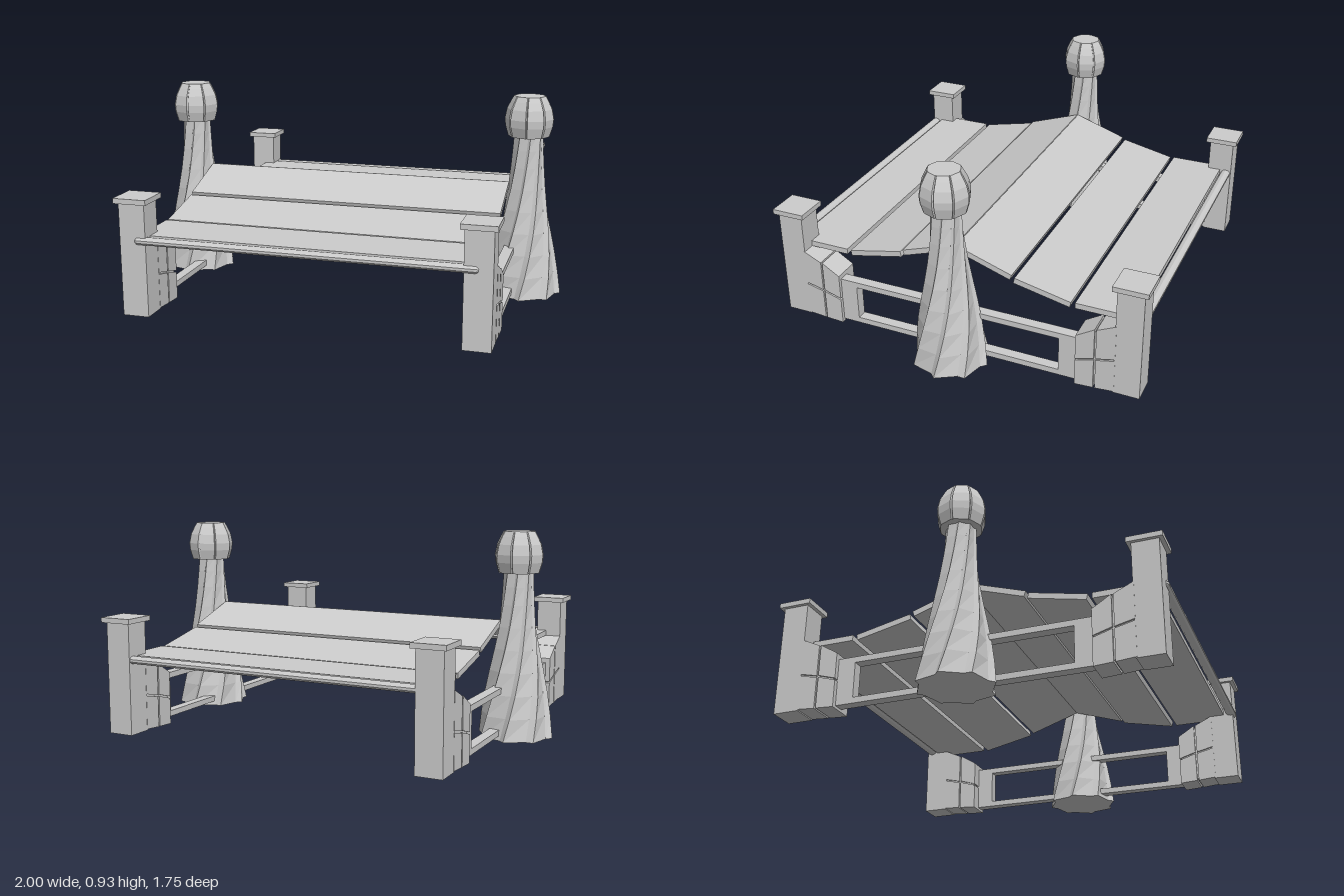
import * as THREE from 'three';

const material = new THREE.MeshStandardMaterial({ color: 0xcccccc, flatShading: true, side: THREE.DoubleSide });

function add(parent, name, geometry, x = 0, y = 0, z = 0) {
  const mesh = new THREE.Mesh(geometry, material);
  mesh.name = name;
  mesh.position.set(x, y, z);
  parent.add(mesh);
  return mesh;
}

// Closed solid from stacked rings; section = [angle, radius factor], levels = [y, radius, twist]
function loft(section, levels) {
  const pos = [], idx = [], n = section.length;
  for (const [y, r, twist] of levels) {
    for (const [a, f] of section) pos.push(Math.cos(a - twist) * r * f, y, Math.sin(a - twist) * r * f);
  }
  for (let j = 0; j < levels.length - 1; j++) {
    for (let i = 0; i < n; i++) {
      const a = j * n + i, b = j * n + (i + 1) % n;
      idx.push(a, a + n, b, b, a + n, b + n);
    }
  }
  const last = levels.length - 1;
  const bottom = pos.length / 3, top = bottom + 1;
  pos.push(0, levels[0][0], 0, 0, levels[last][0], 0);
  for (let i = 0; i < n; i++) {
    const k = (i + 1) % n;
    idx.push(bottom, i, k, top, last * n + k, last * n + i);
  }
  const g = new THREE.BufferGeometry();
  g.setAttribute('position', new THREE.Float32BufferAttribute(pos, 3));
  g.setIndex(idx);
  const flat = g.toNonIndexed();
  flat.computeVertexNormals();
  return flat;
}

// Side-on outline in (z, y), given thickness along x and centred there
function sidePanel(points, width, hole) {
  const shape = new THREE.Shape(points.map(p => new THREE.Vector2(...p)));
  if (hole) shape.holes.push(new THREE.Path(hole.map(p => new THREE.Vector2(...p))));
  const g = new THREE.ExtrudeGeometry(shape, { depth: width, bevelEnabled: false });
  return g.translate(0, 0, -width / 2).rotateY(-Math.PI / 2);
}

const rect = (z, y0, y1) => [[-z, y0], [z, y0], [z, y1], [-z, y1]];

function addTower(parent, x) {
  const tower = new THREE.Group();
  tower.name = 'twistedTower';
  tower.position.x = x;
  parent.add(tower);

  // Twisted shaft with eight stepped ridges
  const step = Math.PI / 4, ridges = [], panels = [];
  for (let i = 0; i < 8; i++) {
    ridges.push([i * step, 1], [(i + 0.2) * step, 0.87]);
    // Knob panels separated by narrow grooves
    panels.push([i * step - 0.04, 1], [i * step, 0.93], [i * step + 0.04, 1]);
  }
  const profile = [[0, 0.174], [0.1, 0.158], [0.2, 0.141], [0.3, 0.122], [0.4, 0.103],
    [0.5, 0.087], [0.6, 0.076], [0.68, 0.07], [0.75, 0.066]];
  add(tower, 'shaft', loft(ridges, profile.map(([y, r]) => [y, r, y * 1.4])));
  add(tower, 'knob', loft(panels, [[0.743, 0.094, 0], [0.79, 0.108, 0], [0.825, 0.111, 0],
    [0.87, 0.102, 0], [0.905, 0.085, 0], [0.928, 0.072, 0]]));
}

function addCorner(parent, sx, sz) {
  const corner = new THREE.Group();
  corner.name = 'corner';
  corner.position.x = sx * 0.75 - 0.008;
  parent.add(corner);

  // Post and cap
  const z = sz * 0.8;
  add(corner, 'post', new THREE.BoxGeometry(0.12, 0.51, 0.117), 0, 0.27, z);
  add(corner, 'postCap', new THREE.BoxGeometry(0.152, 0.023, 0.153), 0, 0.534, z);

  // Sloping buttress: two columns of two stones over a recessed core
  const columns = [[0.75, 0.02, 0.18, 0.348], [0.657, 0.013, 0.16, 0.308], [0.57, 0.008, 0.135, 0.257]];
  const gap = 0.004;
  for (let c = 0; c < 2; c++) {
    for (let r = 1; r < 3; r++) {
      const a = columns[c], b = columns[c + 1];
      const za = sz * (a[0] - gap), zb = sz * (b[0] + (c ? 0 : gap));
      const low = r === 2 ? gap : 0, high = r === 1 ? gap : 0;
      add(corner, 'buttressStone', sidePanel([[za, a[r] + low], [zb, b[r] + low],
        [zb, b[r + 1] - high], [za, a[r + 1] - high]], 0.122));
    }
  }
  add(corner, 'buttressCore', sidePanel([[sz * 0.75, 0.03], [sz * 0.58, 0.02], [sz * 0.58, 0.245],
    [sz * 0.657, 0.295], [sz * 0.75, 0.335]], 0.105));
}

export function createModel() {
  const model = new THREE.Group();
  model.name = 'footbridge';

  for (const s of [-1, 1]) {
    addTower(model, s * 0.8255 - 0.002);
    for (const sz of [-1, 1]) addCorner(model, s, sz);
    // Open rail frame along each side
    add(model, 'sideFrame', sidePanel(rect(0.6, 0.02, 0.235), 0.048, rect(0.49, 0.047, 0.208)), s * 0.768 - 0.005);
  }

  // Deck planks: [z inner, top y inner, z outer, top y outer]
  const planks = [[0.003, 0.523, 0.262, 0.436], [0.276, 0.425, 0.532, 0.37], [0.553, 0.372, 0.812, 0.372]];
  const thick = 0.026;
  for (const s of [-1, 1]) {
    for (const [z0, y0, z1, y1] of planks) {
      const length = Math.hypot(z1 - z0, y1 - y0);
      const plank = add(model, 'deckPlank', new THREE.BoxGeometry(1.487, thick, length), -0.002,
        (y0 + y1 - thick) / 2, s * (z0 + z1) / 2 + (s < 0 ? 0.01 : 0));
      plank.rotation.x = s * Math.atan2(y0 - y1, z1 - z0);
    }
    // Round-ended bar across each end
    const bar = new THREE.CapsuleGeometry(0.018, 1.46, 4, 10).rotateZ(Math.PI / 2).scale(1, 1, 1.3);
    add(model, 'endBar', bar, -0.003, 0.357, s > 0 ? 0.847 : -0.833);
  }
  return model;
}
